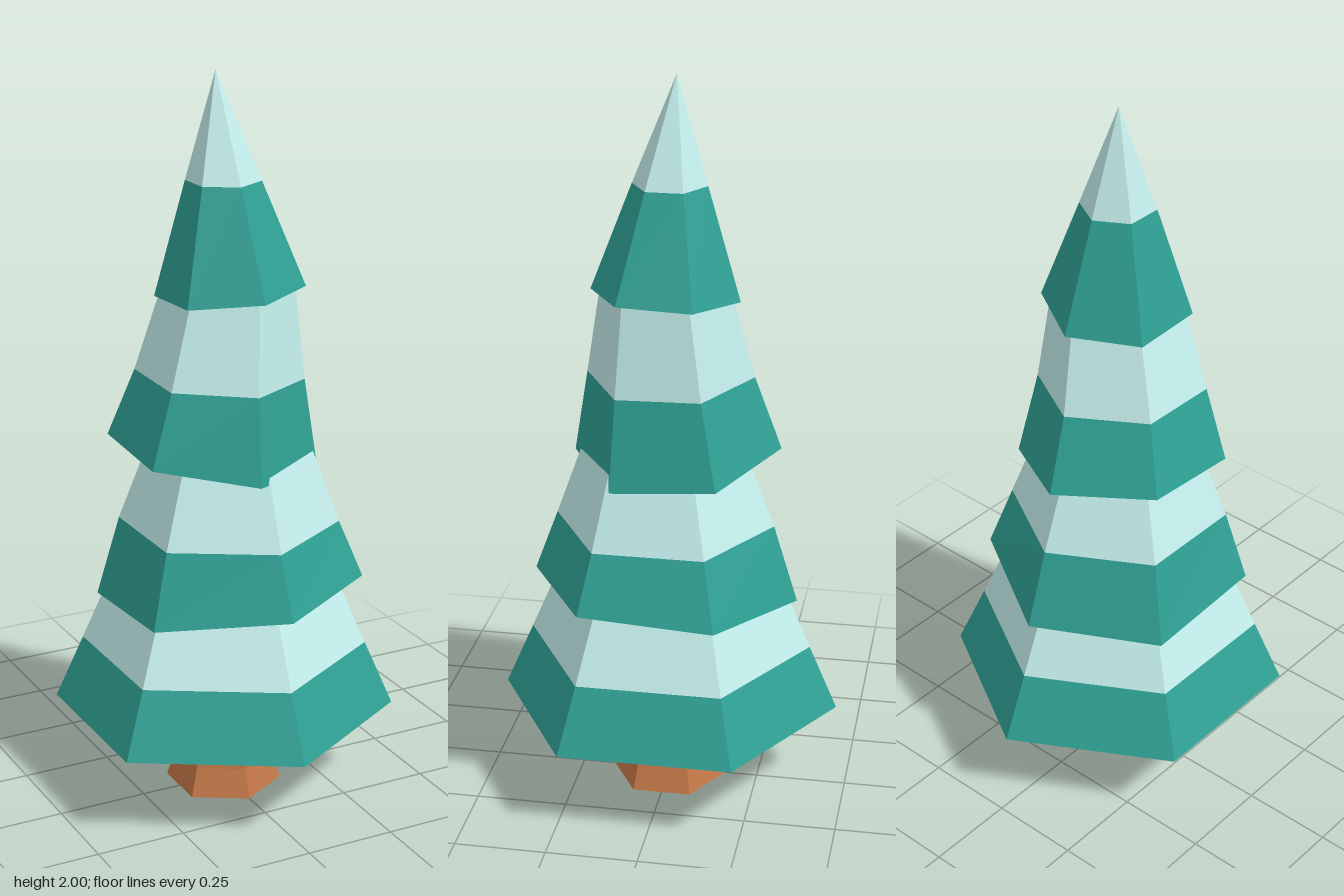
import * as THREE from 'three';

const SIDES = 6;
const material = (color) => new THREE.MeshStandardMaterial({ color, flatShading: true });

// Six-sided ring; slopeX and slopeZ tilt its plane.
function ring({ x = 0, y, z = 0, r, slopeX = 0, slopeZ = 0 }) {
  const points = [];
  for (let i = 0; i < SIDES; i++) {
    const a = (i / SIDES) * Math.PI * 2;
    const dx = r * Math.sin(a), dz = r * Math.cos(a);
    points.push([x + dx, y + slopeX * dx + slopeZ * dz, z + dz]);
  }
  return { points, center: [x, y, z] };
}

// Faceted skin through rings listed bottom to top, with optional end caps.
function loft(name, specs, mat, capBottom, capTop) {
  const rings = specs.map(ring);
  const first = rings[0], last = rings[rings.length - 1];
  const v = [];
  for (let i = 0; i < SIDES; i++) {
    const j = (i + 1) % SIDES;
    for (let k = 0; k < rings.length - 1; k++) {
      const a = rings[k].points, b = rings[k + 1].points;
      v.push(...a[i], ...a[j], ...b[j]);
      if (specs[k + 1].r > 0) v.push(...a[i], ...b[j], ...b[i]);
    }
    if (capBottom) v.push(...first.center, ...first.points[j], ...first.points[i]);
    if (capTop) v.push(...last.center, ...last.points[i], ...last.points[j]);
  }
  const geometry = new THREE.BufferGeometry();
  geometry.setAttribute('position', new THREE.Float32BufferAttribute(v, 3));
  geometry.computeVertexNormals();
  const mesh = new THREE.Mesh(geometry, mat);
  mesh.name = name;
  return mesh;
}

export function createModel() {
  const model = new THREE.Group();
  model.name = 'snowyFirTree';
  const bark = material(0xc47848);
  const needles = material(0x2fa194);
  const snow = material(0xc4efed);

  // Trunk with a flared foot
  model.add(loft('trunk', [
    { y: 0, r: 0.16 }, { y: 0.08, r: 0.136 }, { y: 0.26, r: 0.12 },
  ], bark, true, false));

  // Each tier: drooping rim, snow line, top
  const tiers = [
    [{ y: 0.24, r: 0.47 }, { y: 0.42, r: 0.392 }, { y: 0.64, r: 0.298 }],
    [{ x: 0.013, y: 0.587, z: 0.01, r: 0.365, slopeX: 0.07, slopeZ: 0.06 },
      { x: 0.01, y: 0.78, z: 0.012, r: 0.3 },
      { x: 0.01, y: 1.0, z: 0.015, r: 0.218 }],
    [{ x: -0.025, y: 0.975, z: -0.017, r: 0.283, slopeX: -0.13, slopeZ: -0.07 },
      { x: -0.012, y: 1.193, z: 0, r: 0.227, slopeX: -0.04, slopeZ: -0.02 },
      { x: 0.012, y: 1.45, z: 0.01, r: 0.173 }],
    [{ x: 0.014, y: 1.42, z: 0.01, r: 0.2, slopeX: 0.07, slopeZ: 0.04 },
      { x: 0, y: 1.715, z: 0, r: 0.1 },
      { x: -0.015, y: 2, z: -0.015, r: 0 }],
  ];
  tiers.forEach(([rim, line, top], i) => {
    const tier = new THREE.Group();
    tier.name = `branchTier${i + 1}`;
    tier.add(loft('needles', [rim, line], needles, true, false));
    tier.add(loft('snow', [line, top], snow, false, top.r > 0));
    model.add(tier);
  });
  return model;
}
